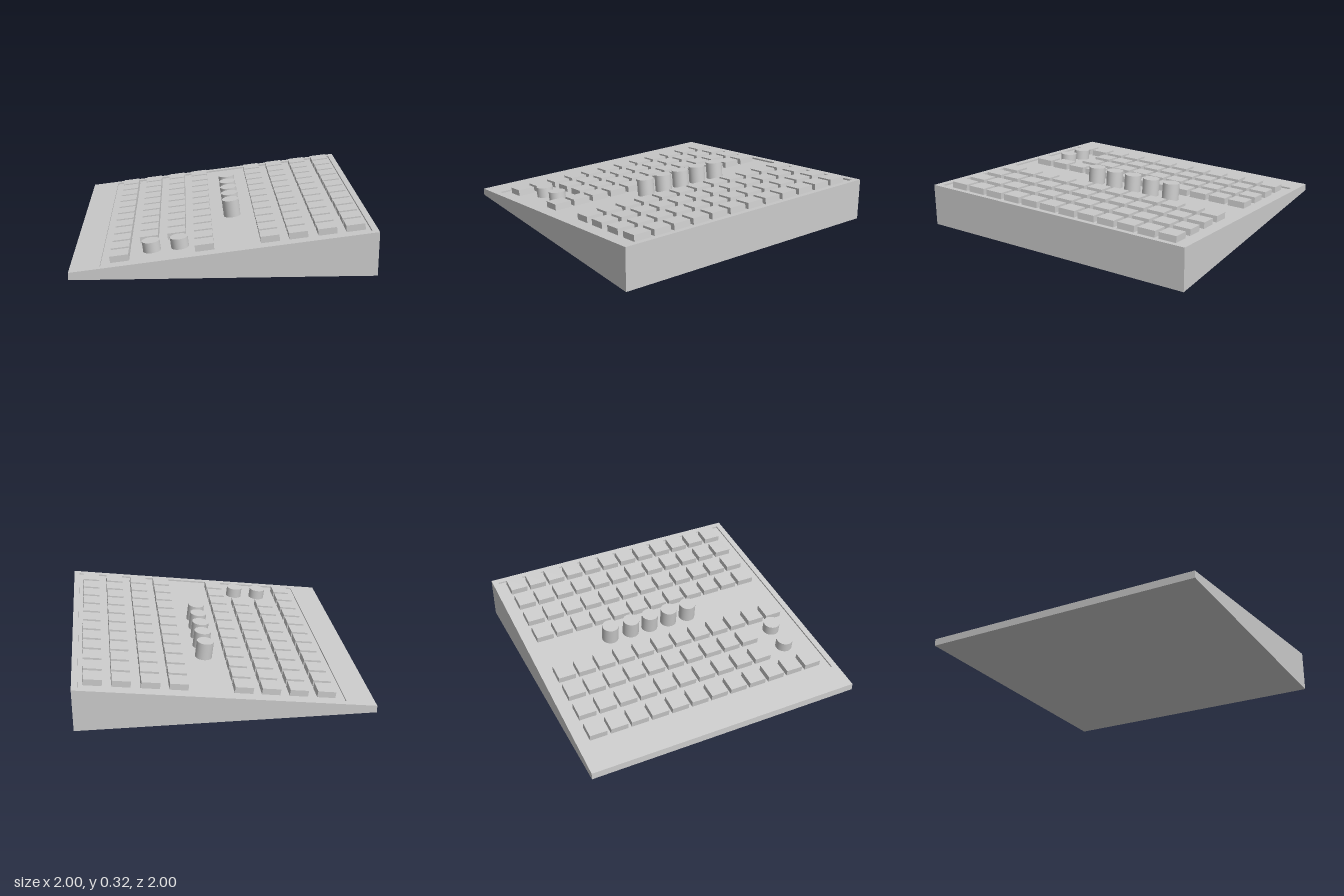
import * as THREE from 'three';

const SLOPE = 0.125, MID = 0.175, RECESS = 0.012;
const TILT = Math.atan(SLOPE);
const material = new THREE.MeshStandardMaterial({ color: 0xcccccc });

function addMesh(parent, geometry, name) {
  const mesh = new THREE.Mesh(geometry, material);
  mesh.name = name;
  parent.add(mesh);
  return mesh;
}

function rectangle(path, x0, z0, x1, z1) {
  path.moveTo(x0, z0);
  path.lineTo(x1, z0);
  path.lineTo(x1, z1);
  path.lineTo(x0, z1);
  path.closePath();
  return path;
}

export function createModel() {
  const model = new THREE.Group();
  model.name = 'slopedControlPanel';

  // Wedge housing: a square rim with an opening, its top sheared to the slope
  const rim = rectangle(new THREE.Shape(), -1, -1, 1, 1);
  rim.holes.push(rectangle(new THREE.Path(), -0.8, -0.957, 0.96, 0.957));
  const housing = new THREE.ExtrudeGeometry(rim, { depth: 1, bevelEnabled: false });
  housing.rotateX(-Math.PI / 2);
  const pos = housing.attributes.position;
  for (let i = 0; i < pos.count; i++) {
    pos.setY(i, pos.getY(i) > 0.5 ? MID + SLOPE * pos.getX(i) : 0);
  }
  housing.computeVertexNormals();
  addMesh(model, housing, 'housing');

  // Recessed deck filling the opening
  const section = new THREE.Shape();
  section.moveTo(-0.8, 0);
  section.lineTo(0.96, 0);
  section.lineTo(0.96, MID + SLOPE * 0.96 - RECESS);
  section.lineTo(-0.8, MID - SLOPE * 0.8 - RECESS);
  section.closePath();
  const deck = new THREE.ExtrudeGeometry(section, { depth: 1.914, bevelEnabled: false });
  deck.translate(0, 0, -0.957);
  addMesh(model, deck, 'recessedDeck');

  // Controls sit square to the sloping deck
  const controls = new THREE.Group();
  controls.name = 'controls';
  controls.position.y = MID;
  controls.rotation.z = TILT;
  model.add(controls);

  function place(geometry, name, x, z, height) {
    const mesh = addMesh(controls, geometry, name);
    mesh.position.set(x / Math.cos(TILT), height / 2 - RECESS - 0.004, z);
  }

  // Square keys: eight columns of twelve, two of them shortened for the low knobs
  const keyHeight = 0.048;
  const key = new THREE.BoxGeometry(0.125, keyHeight, 0.125);
  const columns = [-0.677, -0.49, -0.303, -0.121, 0.308, 0.493, 0.683, 0.867];
  columns.forEach((x, c) => {
    const rows = c === 1 || c === 2 ? 10 : 12;
    for (let r = 0; r < rows; r++) place(key, 'key', x, -0.84 + r * 0.1515, keyHeight);
  });

  // Tall knobs in the central strip
  const tallKnob = new THREE.CylinderGeometry(0.06, 0.06, 0.126, 32);
  for (const z of [-0.396, -0.232, -0.08, 0.075, 0.23]) place(tallKnob, 'tallKnob', 0.092, z, 0.126);

  // Low knobs near the front
  const lowKnob = new THREE.CylinderGeometry(0.06, 0.06, 0.076, 32);
  for (const x of [-0.469, -0.282]) place(lowKnob, 'lowKnob', x, 0.749, 0.076);

  return model;
}
